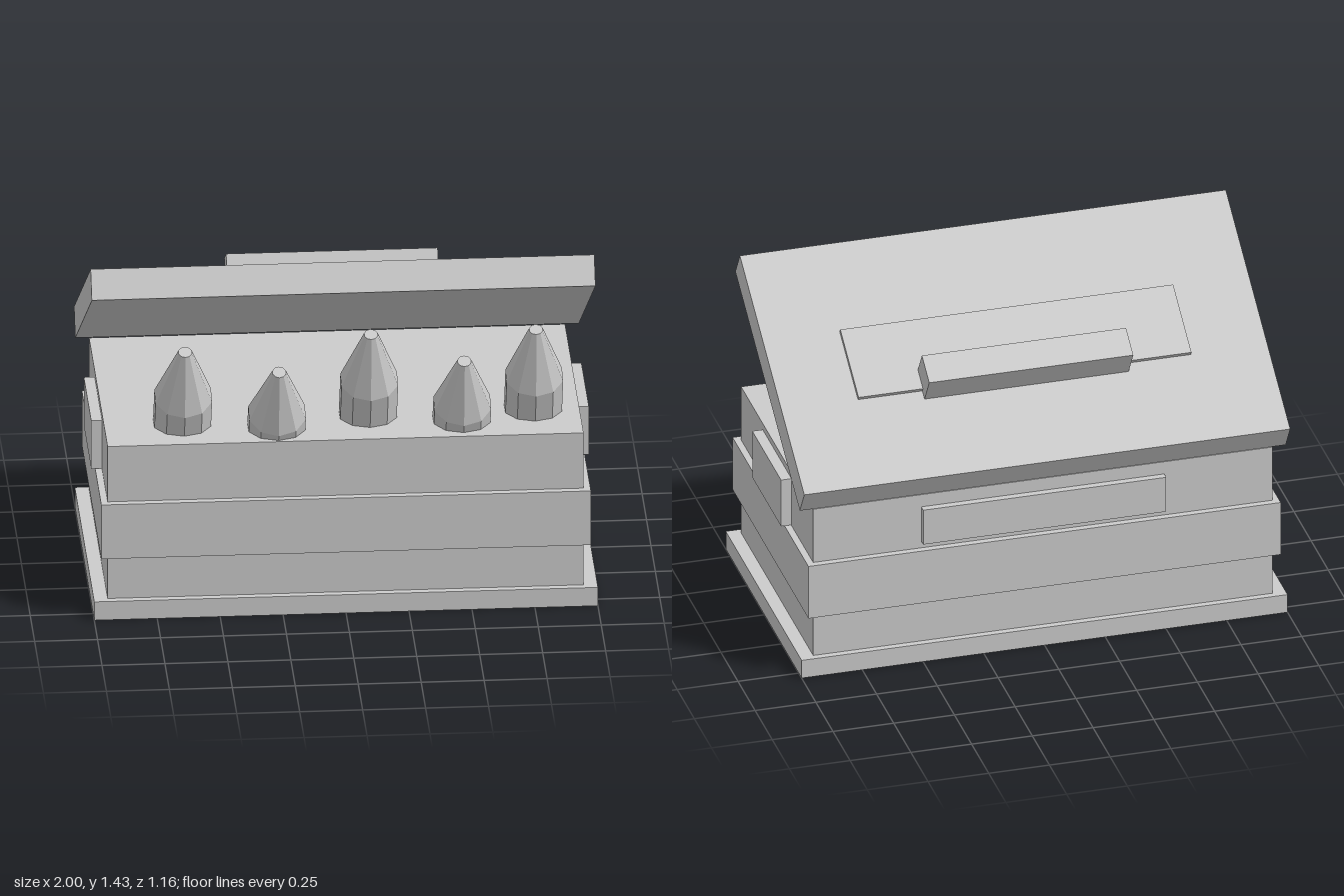
import * as THREE from 'three';

const material = new THREE.MeshStandardMaterial({ color: 0xcccccc, flatShading: true });

// Box given by its min and max extents on each axis
function box(name, [x0, x1], [y0, y1], [z0, z1]) {
  const mesh = new THREE.Mesh(new THREE.BoxGeometry(x1 - x0, y1 - y0, z1 - z0), material);
  mesh.position.set((x0 + x1) / 2, (y0 + y1) / 2, (z0 + z1) / 2);
  mesh.name = name;
  return mesh;
}

// Ten-sided crayon with a blunt cone tip; the origin is the centre of the tip
function crayon(x, y, z, tilt) {
  const radius = 0.118, tipRadius = 0.028, tipLength = 0.262, shaftLength = 0.4;
  const group = new THREE.Group();
  group.name = 'crayon';
  const tip = new THREE.Mesh(new THREE.CylinderGeometry(tipRadius, radius, tipLength, 10), material);
  tip.name = 'crayonTip';
  tip.position.y = -tipLength / 2;
  const shaft = new THREE.Mesh(new THREE.CylinderGeometry(radius, radius, shaftLength, 10), material);
  shaft.name = 'crayonShaft';
  shaft.position.y = -tipLength - shaftLength / 2;
  group.add(tip, shaft);
  group.position.set(x, y, z);
  group.rotation.x = THREE.MathUtils.degToRad(tilt);
  return group;
}

export function createModel() {
  const model = new THREE.Group();
  model.name = 'crayonBox';

  // Box body with base and raised band
  model.add(
    box('base', [-1, 1], [0, 0.08], [-0.543, 0.564]),
    box('body', [-0.945, 0.945], [0.08, 0.74], [-0.516, 0.535]),
    box('band', [-0.972, 0.972], [0.265, 0.5], [-0.543, 0.564]),
    box('backPlate', [-0.5, 0.5], [0.53, 0.685], [-0.545, -0.516])
  );

  // Side plates
  model.add(
    box('leftPlate', [0.945, 0.988], [0.503, 0.712], [-0.2, 0.22]),
    box('rightPlate', [-0.988, -0.945], [0.503, 0.712], [-0.2, 0.22])
  );

  // Open lid, hinged on the top rear edge
  const lid = new THREE.Group();
  lid.name = 'lid';
  lid.add(
    box('lidPanel', [-1, 1], [0, 0.125], [0, 1.107]),
    box('lidPlate', [-0.685, 0.685], [0.125, 0.142], [0.393, 0.707]),
    box('lidHandle', [-0.42, 0.42], [0.125, 0.254], [0.355, 0.481])
  );
  lid.position.set(0, 0.742, -0.516);
  lid.rotation.x = THREE.MathUtils.degToRad(-31.9);
  model.add(lid);

  // Crayons leaning forward: tip x, y, z and tilt in degrees
  const crayons = [
    [-0.635, 1.126, 0.503, 24.5],
    [-0.265, 1.051, 0.556, 28],
    [0.105, 1.168, 0.476, 22.8],
    [0.472, 1.064, 0.529, 26.5],
    [0.762, 1.157, 0.45, 22],
  ];
  for (const c of crayons) model.add(crayon(...c));

  return model;
}
